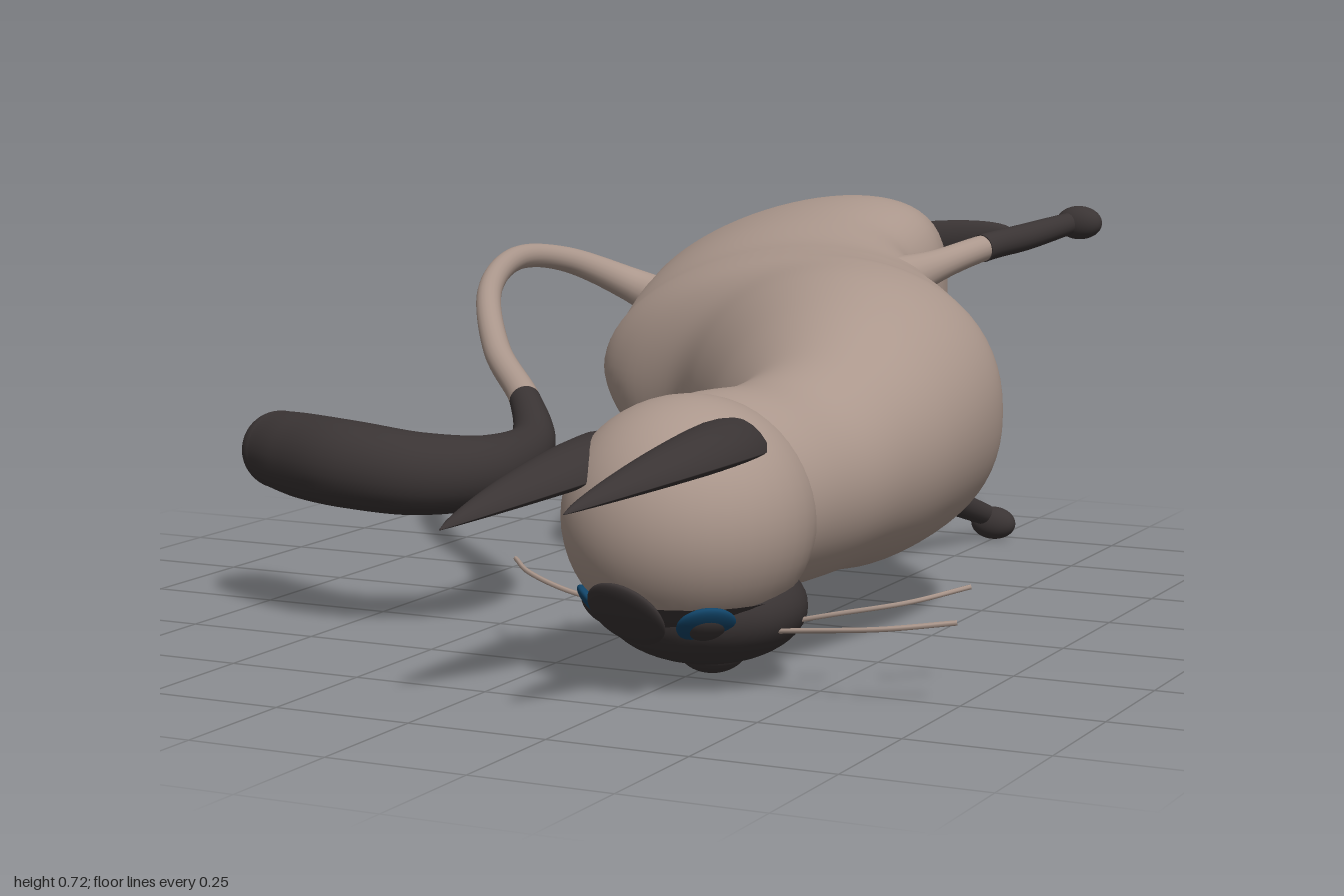
import * as THREE from 'three';

const fur = new THREE.MeshStandardMaterial({ color: 0xab978c });
fur.name = 'tan fur';
const dark = new THREE.MeshStandardMaterial({ color: 0x3a3434 });
dark.name = 'dark points';
const blue = new THREE.MeshStandardMaterial({ color: 0x114468 });
blue.name = 'blue eye';

const V = (p) => new THREE.Vector3(...p);

// Closed surface through rings of equal length; both ends are capped
function loft(rings) {
  const n = rings[0].length, pos = [], idx = [];
  for (const ring of rings) for (const p of ring) pos.push(p.x, p.y, p.z);
  for (let i = 0; i < rings.length - 1; i++) {
    for (let j = 0; j < n; j++) {
      const a = i * n + j, b = i * n + (j + 1) % n;
      idx.push(a, b, a + n, b, b + n, a + n);
    }
  }
  for (const [ring, flip] of [[rings[0], true], [rings[rings.length - 1], false]]) {
    const base = pos.length / 3;
    const c = ring.reduce((s, p) => s.add(p), new THREE.Vector3()).divideScalar(n);
    for (const p of [...ring, c]) pos.push(p.x, p.y, p.z);
    for (let j = 0; j < n; j++) {
      const a = base + j, b = base + (j + 1) % n;
      idx.push(...(flip ? [b, a, base + n] : [a, b, base + n]));
    }
  }
  const g = new THREE.BufferGeometry();
  g.setAttribute('position', new THREE.Float32BufferAttribute(pos, 3));
  g.setIndex(idx);
  g.computeVertexNormals();
  return g;
}

const spline = (points) => new THREE.CatmullRomCurve3(points.map(V), false, 'catmullrom', 0.5);

// Tube whose radius follows a list of values
function taperTube(points, radii, from = 0, to = 1, steps = 40, sides = 20) {
  const curve = spline(points), rad = spline(radii.map((r) => [r, 0, 0]));
  const rings = [];
  let side = new THREE.Vector3(0, 1, 0);
  for (let i = 0; i <= steps; i++) {
    const u = from + (to - from) * i / steps;
    const c = curve.getPoint(u), t = curve.getTangent(u), r = rad.getPoint(u).x;
    side = side.clone().addScaledVector(t, -side.dot(t)).normalize();
    const up = t.clone().cross(side);
    rings.push(Array.from({ length: sides }, (_, j) => {
      const a = j / sides * Math.PI * 2;
      return c.clone().addScaledVector(side, Math.cos(a) * r).addScaledVector(up, Math.sin(a) * r);
    }));
  }
  return loft(rings);
}

export function createModel() {
  const cat = new THREE.Group();
  cat.name = 'cat';
  const add = (name, geometry, material) => {
    const m = new THREE.Mesh(geometry, material);
    m.name = name;
    cat.add(m);
    return m;
  };
  const ball = (name, center, radii, material, from = 0, to = Math.PI) => {
    const m = add(name, new THREE.SphereGeometry(1, 40, 28, 0, Math.PI * 2, from, to - from), material);
    m.position.set(...center);
    m.scale.set(...radii);
    return m;
  };

  // Body: z, xMin, xMax, yMin, yMax, wedge (1 = narrow at the spine, blunt at the belly)
  const rows = [
    [-0.992, -0.53, 0.03, 0.27, 0.60, 1],
    [-0.975, -0.56, 0.10, 0.205, 0.66, 1],
    [-0.93, -0.55, 0.155, 0.17, 0.695, 1],
    [-0.80, -0.49, 0.20, 0.155, 0.714, 1],
    [-0.62, -0.435, 0.225, 0.15, 0.685, 0.85],
    [-0.47, -0.39, 0.36, 0.13, 0.655, 0.6],
    [-0.36, -0.35, 0.455, 0.12, 0.65, 0.45],
    [-0.28, -0.27, 0.515, 0.11, 0.65, 0.3],
    [-0.20, -0.12, 0.555, 0.11, 0.65, 0.15],
    [-0.08, -0.02, 0.57, 0.11, 0.635, 0.05],
    [0.06, 0.08, 0.565, 0.12, 0.59, 0],
    [0.20, 0.165, 0.54, 0.14, 0.525, 0],
    [0.32, 0.14, 0.515, 0.135, 0.49, 0],
    [0.44, 0.085, 0.488, 0.13, 0.486, 0],
    [0.54, 0.09, 0.455, 0.135, 0.47, 0],
  ];
  const planCurve = spline(rows.map((r) => [r[1], r[2], r[0]]));
  const sideCurve = spline(rows.map((r) => [r[3], r[4], r[5]]));
  const bodyRings = [];
  for (let i = 0; i <= 100; i++) {
    const p = planCurve.getPoint(i / 100), q = sideCurve.getPoint(i / 100), d = q.z;
    const e = 0.5 + 0.1 * d, f = 0.5 - 0.3 * d, peak = (e - f) / (e + f);
    const height = (s) => Math.pow(1 + s, e) * Math.pow(1 - s, f);
    bodyRings.push(Array.from({ length: 72 }, (_, j) => {
      const a = j / 72 * Math.PI * 2, s = THREE.MathUtils.clamp(Math.cos(a), -1, 1);
      const h = Math.sign(Math.sin(a)) * height(s) / height(peak);
      return new THREE.Vector3((p.x + p.y) / 2 + (p.y - p.x) / 2 * s,
        (q.x + q.y) / 2 + (q.y - q.x) / 2 * h + 0.015 * d * (1 - s), p.z);
    }));
  }
  add('body', loft(bodyRings), fur);

  // Head with a dark lower face, muzzle and nose
  const headCenter = [0.272, 0.285, 0.53];
  ball('head', headCenter, [0.215, 0.205, 0.222], fur);
  ball('mask', headCenter, [0.218, 0.208, 0.225], dark, 2.23);
  ball('muzzle', [0.288, 0.132, 0.505], [0.178, 0.1, 0.162], dark);
  ball('nose', [0.285, 0.05, 0.465], [0.06, 0.045, 0.065], dark);

  // Flat domes set on the face: nose bridge, eyes and pupils
  const dome = (name, x, y, z, size, lift, material) => {
    const m = ball(name, [x, y, z], [size, size, 0.015], material);
    const out = m.position.clone().sub(V(headCenter)).normalize();
    m.lookAt(m.position.clone().add(out));
    m.position.addScaledVector(out, lift);
  };
  dome('noseBridge', 0.245, 0.155, 0.697, 0.072, 0.014, dark);
  for (const [x, y, z] of [[0.148, 0.137, 0.614], [0.358, 0.13, 0.645]]) {
    dome('eye', x, y, z, 0.05, 0.005, blue);
    dome('pupil', x, y, z, 0.033, 0.01, dark);
  }

  // Ears: curved half cones, flat towards the face
  const ears = [
    { base: [0.122, 0.345, 0.56], mid: [0.1, 0.335, 0.74], tip: [0.025, 0.305, 0.935] },
    { base: [0.36, 0.385, 0.56], mid: [0.355, 0.383, 0.76], tip: [0.285, 0.36, 1.0] },
  ];
  for (const { base, mid, tip } of ears) {
    const path = new THREE.QuadraticBezierCurve3(V(base),
      V(mid).multiplyScalar(2).addScaledVector(V(base).add(V(tip)), -0.5), V(tip));
    const rings = [];
    for (let i = 0; i <= 24; i++) {
      const u = i / 24, c = path.getPoint(u);
      const w = 0.08 * Math.pow(1 - u, 0.8) * (0.95 + 0.7 * u) + 0.002;
      rings.push(Array.from({ length: 28 }, (_, j) => {
        const a = j / 28 * Math.PI * 2, s = Math.sin(a);
        const dx = Math.cos(a) * w, dy = s * w * (s > 0 ? 1.0 : 0.12);
        return new THREE.Vector3(c.x + dx * 0.95 - dy * 0.31, c.y + dx * 0.31 + dy * 0.95, c.z);
      }));
    }
    add('ear', loft(rings), dark);
  }

  // Tail: thin tan stretch, then a thick dark club
  const tailPath = [[-0.46, 0.45, -0.935], [-0.585, 0.5, -0.94], [-0.685, 0.56, -0.83], [-0.715, 0.575, -0.66],
    [-0.65, 0.53, -0.43], [-0.51, 0.44, -0.21], [-0.36, 0.37, -0.05], [-0.265, 0.31, 0.1],
    [-0.26, 0.288, 0.27], [-0.34, 0.29, 0.375], [-0.47, 0.30, 0.395], [-0.60, 0.30, 0.345], [-0.688, 0.30, 0.298]];
  const tailRadii = [0.055, 0.037, 0.027, 0.025, 0.025, 0.027, 0.03, 0.045, 0.064, 0.075, 0.08, 0.079, 0.073];
  add('tail', taperTube(tailPath, tailRadii, 0, 0.5, 60), fur);
  add('tailTip', taperTube(tailPath, tailRadii, 0.5, 1, 60, 28), dark);
  ball('tailEnd', [-0.688, 0.30, 0.298], [0.073, 0.073, 0.073], dark);

  // Front legs: tan above, dark below, with small paws
  const legs = [
    { path: [[0.2, 0.57, -0.42], [0.265, 0.605, -0.56], [0.32, 0.635, -0.7], [0.365, 0.65, -0.83], [0.415, 0.67, -0.965]], paw: [0.428, 0.67, -0.969] },
    { path: [[0.17, 0.2, -0.42], [0.19, 0.165, -0.55], [0.2, 0.14, -0.68], [0.21, 0.1, -0.82], [0.235, 0.05, -0.965]], paw: [0.25, 0.034, -0.969] },
  ];
  for (const { path, paw } of legs) {
    const radii = [0.065, 0.034, 0.026, 0.025, 0.02];
    add('frontLeg', taperTube(path, radii, 0, 0.5), fur);
    add('frontLegLower', taperTube(path, radii.map((r) => r + 0.002), 0.5, 1), dark);
    ball('frontPaw', paw, [0.048, 0.034, 0.03], dark);
  }

  // Long hind feet under the haunches
  ball('hindFoot', [0, 0.6, -0.968], [0.29, 0.048, 0.032], dark).rotation.z = 0.16;
  ball('hindFoot', [-0.04, 0.27, -0.968], [0.27, 0.048, 0.032], dark).rotation.z = -0.28;

  // Whiskers
  const whiskers = [
    [[0.16, 0.11, 0.48], [0.03, 0.12, 0.475], [-0.09, 0.14, 0.43], [-0.15, 0.15, 0.37]],
    [[0.17, 0.11, 0.42], [0.09, 0.11, 0.41], [-0.02, 0.105, 0.34], [-0.08, 0.103, 0.25]],
    [[0.4, 0.1, 0.48], [0.52, 0.13, 0.485], [0.64, 0.155, 0.455], [0.72, 0.175, 0.38]],
    [[0.4, 0.1, 0.54], [0.5, 0.115, 0.565], [0.64, 0.132, 0.575], [0.755, 0.145, 0.53]],
  ];
  for (const w of whiskers) {
    add('whisker', new THREE.TubeGeometry(new THREE.CatmullRomCurve3(w.map(V)), 24, 0.0045, 6), fur);
  }
  return cat;
}
